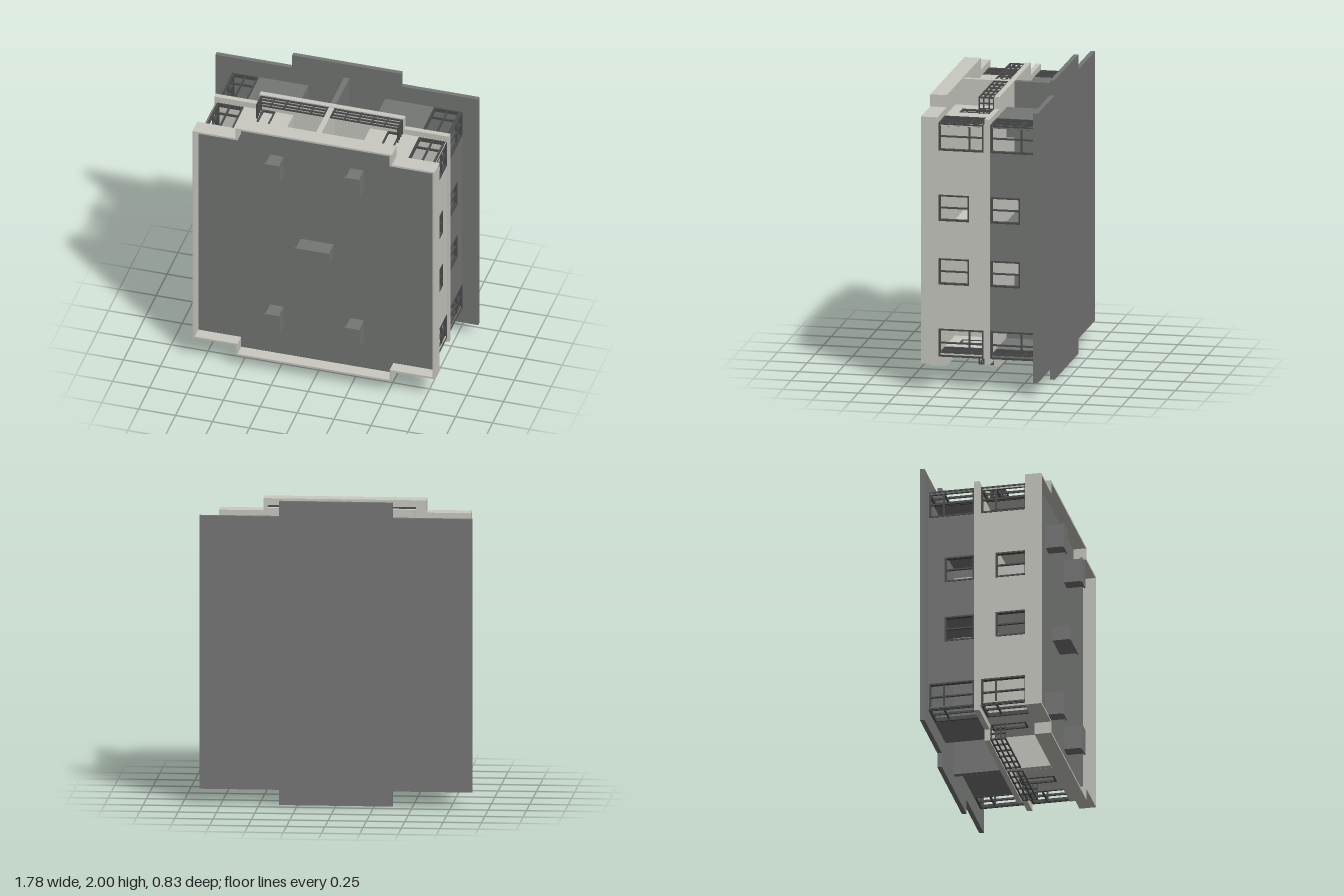
import * as THREE from 'three';

export function createModel() {
  const model = new THREE.Group();
  const mat = (name, color) => {
    const m = new THREE.MeshStandardMaterial({ color });
    m.name = name;
    return m;
  };
  const light = mat('light plaster', 0xc9c9c1);
  const dark = mat('dark grey', 0x757775);
  const trim = mat('charcoal trim', 0x4b4d4c);

  // The house lies on its back: z is its height, x and y its plan.
  const box = (name, m, x0, x1, y0, y1, z0, z1, parent = model) => {
    const mesh = new THREE.Mesh(new THREE.BoxGeometry(Math.abs(x1 - x0), Math.abs(y1 - y0), z1 - z0), m);
    mesh.position.set((x0 + x1) / 2, (y0 + y1) / 2, (z0 + z1) / 2);
    mesh.name = name;
    parent.add(mesh);
    return mesh;
  };

  // Cross-shaped plan: a main block (a, b) and a projecting middle (c, d)
  const plan = (a, b, c, d) => {
    const pts = [[a, -b], [a, b], [c, b], [c, d], [-c, d], [-c, b], [-a, b],
      [-a, -b], [-c, -b], [-c, -d], [c, -d], [c, -b]];
    return pts.map(([x, y]) => new THREE.Vector2(x, y + 1));
  };
  const slab = (name, m, outer, z0, z1, inner) => {
    const shape = new THREE.Shape(outer);
    if (inner) shape.holes.push(new THREE.Path(inner));
    const geo = new THREE.ExtrudeGeometry(shape, { depth: z1 - z0, bevelEnabled: false });
    const mesh = new THREE.Mesh(geo, m);
    mesh.position.z = z0;
    mesh.name = name;
    model.add(mesh);
  };

  // Ground plate, floor slab, roof and parapet
  slab('groundPlate', dark, plan(0.89, 0.9, 0.37, 1), -0.42, -0.39);
  slab('floorSlab', light, plan(0.795, 0.82, 0.49, 0.9), -0.08, -0.045);
  slab('ceiling', light, plan(0.815, 0.82, 0.525, 0.895), 0.262, 0.28);
  slab('roof', dark, plan(0.81, 0.815, 0.52, 0.89), 0.28, 0.29);
  slab('parapet', light, plan(0.82, 0.825, 0.53, 0.905), 0.262, 0.372,
    plan(0.805, 0.812, 0.515, 0.892));

  // Chimneys with slightly wider caps
  const chimney = (x, y, w, h) => {
    const g = new THREE.Group();
    g.name = 'chimney';
    model.add(g);
    box('chimneyStack', dark, x - w / 2 + 0.008, x + w / 2 - 0.008, y - h / 2 + 0.008, y + h / 2 - 0.008, 0.28, 0.402, g);
    box('chimneyCap', dark, x - w / 2, x + w / 2, y - h / 2, y + h / 2, 0.402, 0.412, g);
  };
  for (const x of [-0.273, 0.27]) for (const y of [0.407, 1.603]) chimney(x, y, 0.107, 0.176);
  chimney(0, 1.003, 0.24, 0.115);

  // Walls between the two homes and between front and rear rooms
  for (const [m, z0, z1] of [[dark, -0.39, -0.08], [light, -0.045, 0.265]]) {
    box('partyWall', m, -0.018, 0.018, 0.105, 1.895, z0, z1);
    box('crossWall', m, -0.76, 0.76, 0.985, 1.015, z0, z1);
  }

  // Each quarter is the same, mirrored in x and y
  const quarter = (sx, sy) => {
    const g = new THREE.Group();
    g.name = 'quarterHouse';
    model.add(g);
    const put = (name, m, u0, u1, v0, v1, z0, z1) =>
      box(name, m, sx * u0, sx * u1, 1 + sy * v0, 1 + sy * v1, z0, z1, g);

    // alongX: the run lies along x at plan depth t0..t1; otherwise along y
    const run = (alongX, t0, t1) => (name, m, a0, a1, z0, z1) => alongX
      ? put(name, m, a0, a1, t0, t1, z0, z1)
      : put(name, m, t0, t1, a0, a1, z0, z1);

    // Wall split around openings [a0, a1, z0, z1], sorted along the run
    const wall = (alongX, m, t, a0, a1, z0, z1, holes = []) => {
      const piece = run(alongX, t - 0.02, t);
      let a = a0;
      for (const [h0, h1, hz0, hz1] of holes) {
        if (h0 - a > 0.001) piece('wall', m, a, h0, z0, z1);
        if (hz0 - z0 > 0.001) piece('wallBelowOpening', m, h0, h1, z0, hz0);
        if (z1 - hz1 > 0.001) piece('wallAboveOpening', m, h0, h1, hz1, z1);
        a = h1;
      }
      if (a1 - a > 0.001) piece('wall', m, a, a1, z0, z1);
    };

    // Window or door frame with bars
    const frame = (alongX, t, [a0, a1, z0, z1], bars = [], rails = []) => {
      const piece = run(alongX, t - 0.022, t + 0.004);
      const thin = run(alongX, t - 0.016, t - 0.002);
      const w = 0.011;
      piece('frameSide', trim, a0, a0 + w, z0, z1);
      piece('frameSide', trim, a1 - w, a1, z0, z1);
      piece('frameBottom', trim, a0, a1, z0, z0 + w);
      piece('frameTop', trim, a0, a1, z1 - w, z1);
      for (const a of bars) thin('windowBar', trim, a - 0.005, a + 0.005, z0, z1);
      for (const z of rails) thin('windowRail', trim, a0, a1, z - 0.005, z + 0.005);
    };

    const storeys = [
      { m: dark, z0: -0.39, z1: -0.08, corner: [-0.385, -0.082], mid: [-0.28, -0.082], rail: -0.288 },
      { m: light, z0: -0.045, z1: 0.265, corner: [-0.037, 0.262], mid: [0.06, 0.262], rail: 0.06 },
    ];
    storeys.forEach(({ m, z0, z1, corner, mid, rail }, upper) => {
      const sideMid = [0.125, 0.3, ...mid];
      const sideCorner = [0.595, 0.78, ...corner];
      const endCorner = [0.593, 0.775, ...corner];
      const balconyDoor = [0.38, 0.47, -0.045, 0.19];
      // Side wall with a middle window and a corner window
      wall(false, m, 0.78, 0, 0.78, z0, z1, [sideMid, sideCorner]);
      frame(false, 0.78, sideMid, [0.2125]);
      frame(false, 0.78, sideCorner, [0.69], [rail]);
      // End wall with the other half of the corner window
      wall(true, m, 0.78, 0.26, 0.78, z0, z1, upper ? [balconyDoor, endCorner] : [endCorner]);
      frame(true, 0.78, endCorner, [0.685], [rail]);
      // Recessed middle part
      wall(false, m, 0.28, 0.6, 0.775, z0, z1);
      wall(true, m, 0.6, 0.018, 0.27, z0, z1);
      if (upper) {
        frame(true, 0.78, balconyDoor);
        put('balconyDoor', light, 0.385, 0.465, 0.762, 0.77, -0.045, 0.185);
      } else {
        const entry = [0.037, 0.152, -0.39, -0.15];
        frame(true, 0.604, entry);
        put('entryDoor', dark, 0.045, 0.145, 0.6, 0.605, -0.39, -0.158);
        put('innerPanel', light, 0.5, 0.52, 0.16, 0.27, -0.28, -0.14);
      }
    });

    // Balcony railing: end run and return to the wall
    for (const z of [-0.042, -0.012, 0.022, 0.052]) {
      put('balconyRail', trim, 0.018, 0.482, 0.884, 0.894, z, z + 0.008);
      put('balconyReturnRail', trim, 0.472, 0.482, 0.78, 0.894, z, z + 0.008);
    }
    for (let i = 0; i < 6; i++) {
      const x = 0.02 + i * 0.0904;
      put('balconyPost', trim, x, x + 0.01, 0.884, 0.894, -0.046, 0.06);
    }
    for (const v of [0.81, 0.846]) put('balconyPost', trim, 0.472, 0.482, v, v + 0.008, -0.046, 0.06);
  };
  for (const sx of [-1, 1]) for (const sy of [-1, 1]) quarter(sx, sy);

  return model;
}
